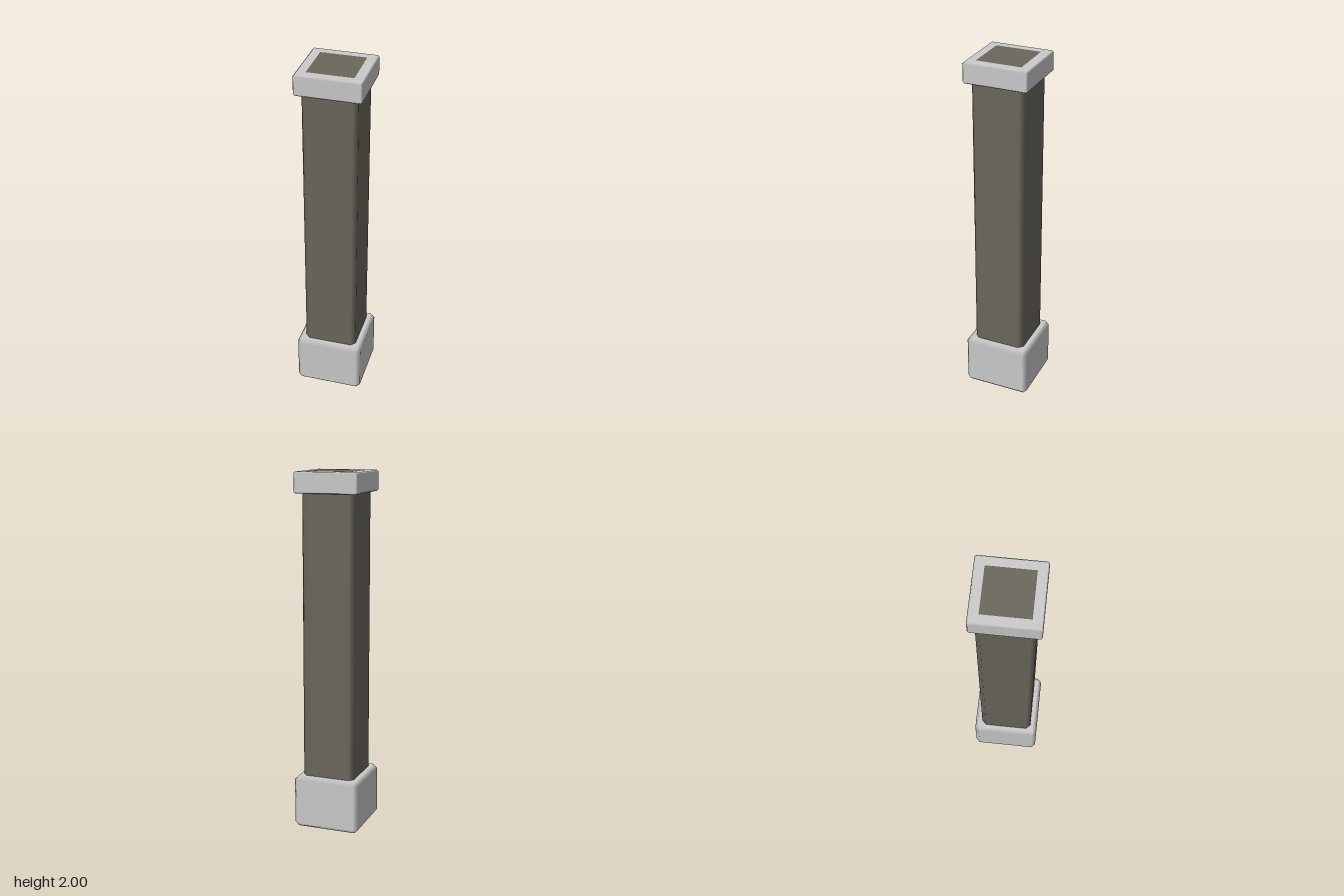
import * as THREE from 'three';
import { ConvexGeometry } from 'three/addons/geometries/ConvexGeometry.js';

const grey = new THREE.MeshStandardMaterial({ color: 0xcccccc });
const dark = new THREE.MeshStandardMaterial({ color: 0x6b675c });

// Square block with chamfered edges; flat faces, shading blended across the chamfers
function chamferBlock(name, half, y0, y1, bevel, material) {
  const size = [half, (y1 - y0) / 2, half];
  const points = [];
  for (const sx of [-1, 1]) for (const sy of [-1, 1]) for (const sz of [-1, 1]) {
    const sign = [sx, sy, sz];
    for (let axis = 0; axis < 3; axis++) {
      points.push(new THREE.Vector3(...size.map((h, i) => sign[i] * (i === axis ? h : h - bevel))));
    }
  }
  const geometry = new ConvexGeometry(points);
  const { position, normal } = geometry.attributes;
  for (let i = 0; i < position.count; i++) {
    const p = [position.getX(i), position.getY(i), position.getZ(i)];
    normal.setXYZ(i, ...p.map((v, k) => (Math.abs(Math.abs(v) - size[k]) < 1e-5 ? Math.sign(v) : 0)));
  }
  const mesh = new THREE.Mesh(geometry, material);
  mesh.name = name;
  mesh.position.y = (y0 + y1) / 2;
  return mesh;
}

export function createModel() {
  const group = new THREE.Group();
  group.name = 'pillar';
  group.add(
    // Shaft runs the full height, its ends showing through the base and cap
    chamferBlock('shaft', 0.15, 0, 2, 0.025, dark),
    chamferBlock('base', 0.19, 0.001, 0.302, 0.023, grey),
    chamferBlock('cap', 0.18, 1.885, 1.999, 0.008, grey),
  );
  return group;
}
